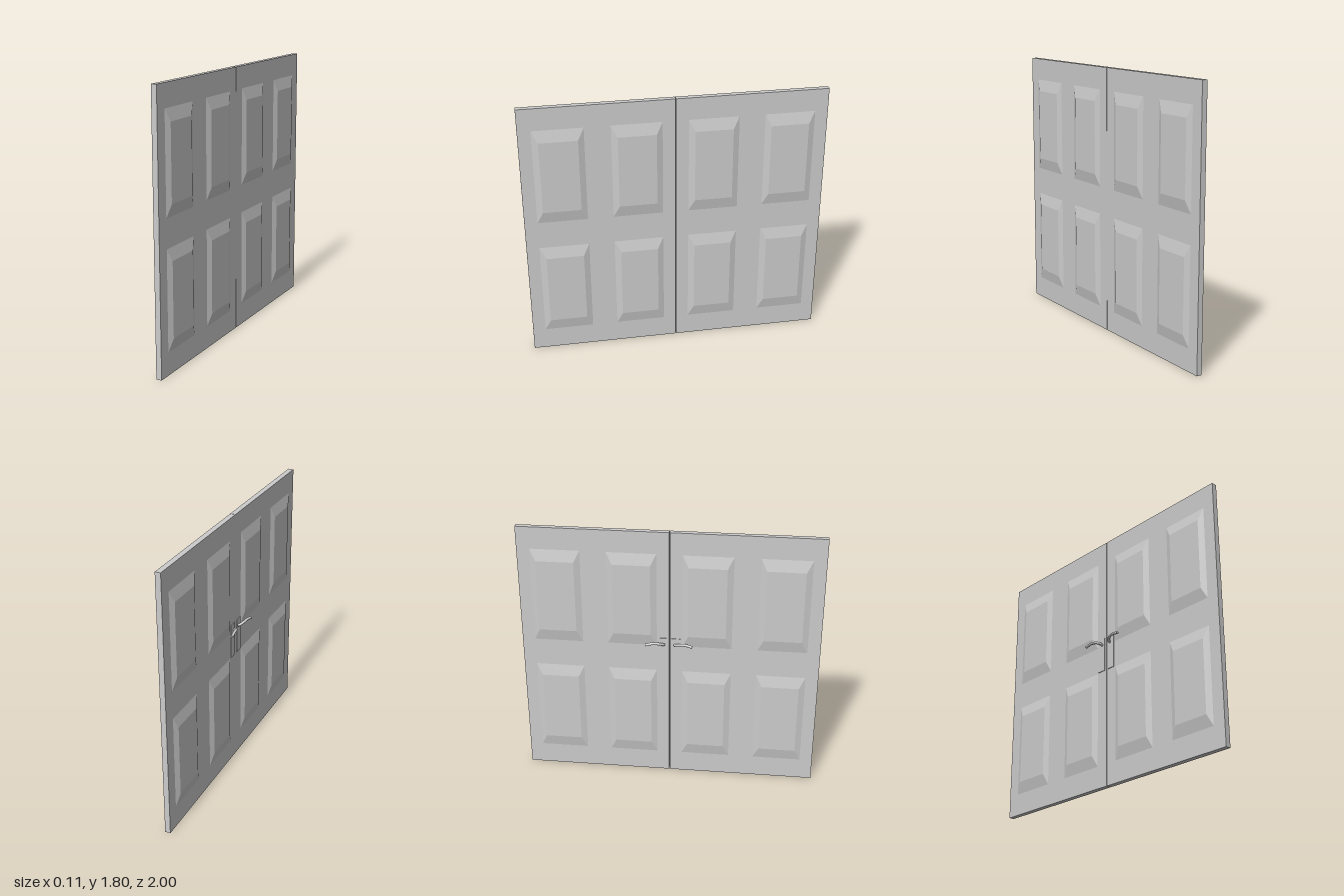
import * as THREE from 'three';

const MID_X = 0.0185;      // middle of the leaf thickness
const THICK = 0.037;
const RAISE = 0.016;       // how far the panels stand proud

const material = new THREE.MeshStandardMaterial({ color: 0xcccccc });
const smoothMaterial = material.clone();

function addMesh(parent, name, geometry, x, y, z, mat = material) {
  const mesh = new THREE.Mesh(geometry, mat);
  mesh.name = name;
  mesh.position.set(x, y, z);
  parent.add(mesh);
  return mesh;
}

// Raised panel: a box whose outer face (+x) is drawn in to make bevelled sides
function panelGeometry(height, width, bevelY, bevelZ) {
  const g = new THREE.BoxGeometry(RAISE, height, width);
  const p = g.attributes.position;
  for (let i = 0; i < p.count; i++) {
    if (p.getX(i) > 0) {
      p.setY(i, p.getY(i) - Math.sign(p.getY(i)) * bevelY);
      p.setZ(i, p.getZ(i) - Math.sign(p.getZ(i)) * bevelZ);
    }
  }
  g.computeVertexNormals();
  return g;
}

// Curved lever: a round bar swept away from the plate and towards the leaf
function leverGeometry(side) {
  const path = new THREE.CatmullRomCurve3([
    [0.002, 1.0, 0.037], [-0.018, 1.01, 0.04], [-0.034, 1.021, 0.065],
    [-0.042, 1.026, 0.105], [-0.046, 1.015, 0.156],
  ].map(([x, y, z]) => new THREE.Vector3(x, y, z * side)));
  const section = new THREE.Shape().absarc(0, 0, 0.009, 0, Math.PI * 2);
  return new THREE.ExtrudeGeometry(section, { steps: 24, curveSegments: 12, extrudePath: path });
}

function makeLeaf(side) {
  const leaf = new THREE.Group();
  leaf.name = side > 0 ? 'frontDoorLeaf' : 'backDoorLeaf';

  // Flat slab, with a hairline gap at the meeting edge
  addMesh(leaf, 'slab', new THREE.BoxGeometry(THICK, 1.8, 0.998), MID_X, 0.9, side * 0.501);

  // Two by two raised panels on both faces
  const panel = panelGeometry(0.655, 0.33, 0.08, 0.04);
  for (const y of [0.4775, 1.3225]) {
    for (const z of [0.25, 0.75]) {
      for (const face of [1, -1]) {
        const x = MID_X + face * (THICK + RAISE) / 2;
        const mesh = addMesh(leaf, 'raisedPanel', panel, x, y, side * z);
        if (face < 0) mesh.rotation.y = Math.PI;
      }
    }
  }

  // Handle: backing plate and lever
  const handle = new THREE.Group();
  handle.name = 'handle';
  addMesh(handle, 'handlePlate', new THREE.BoxGeometry(0.006, 0.24, 0.06), -0.002, 0.93, side * 0.044);
  addMesh(handle, 'handleLever', leverGeometry(side), 0, 0, 0, smoothMaterial);
  leaf.add(handle);
  return leaf;
}

export function createModel() {
  const model = new THREE.Group();
  model.name = 'doubleDoor';
  for (const side of [1, -1]) model.add(makeLeaf(side));
  return model;
}
